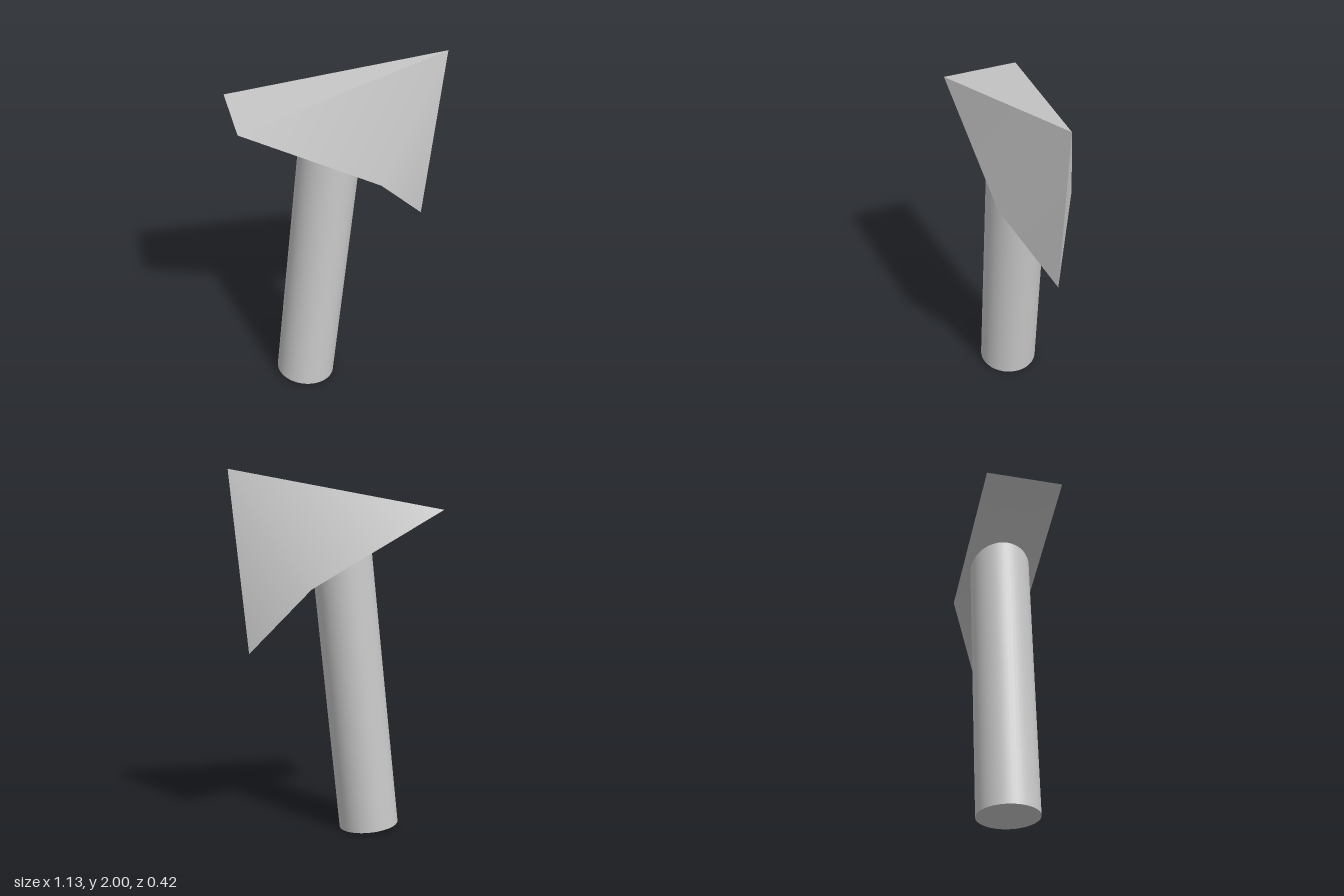
import * as THREE from 'three';
import { toCreasedNormals } from 'three/addons/utils/BufferGeometryUtils.js';

const material = new THREE.MeshStandardMaterial({ color: 0xcccccc });

// Faceted arrow-like head: a ridge at +x, two rear corners and two inner corners
function createHead() {
  const tip = [0.565, 2, 0];
  const barb = [0.462, 1.015, 0];
  const rear = (side) => [-0.565, 1.785, 0.21 * side];
  const notch = (side) => [0.167, 1.375, 0.21 * side];

  const triangles = [
    [tip, rear(-1), rear(1)], // top
    [rear(1), rear(-1), notch(-1)], // underside
    [rear(1), notch(-1), notch(1)],
    [notch(1), notch(-1), barb], // underside of the barb
    [tip, rear(1), notch(1)], // front flank
    [tip, notch(1), barb],
    [tip, notch(-1), rear(-1)], // back flank
    [tip, barb, notch(-1)],
  ];
  const geometry = new THREE.BufferGeometry();
  geometry.setAttribute('position', new THREE.Float32BufferAttribute(triangles.flat(2), 3));
  const head = new THREE.Mesh(toCreasedNormals(geometry, 0.6), material);
  head.name = 'head';
  return head;
}

// Round handle, leaning toward +x, its upper end buried in the head
function createHandle() {
  const length = 1.62;
  const geometry = new THREE.CylinderGeometry(0.165, 0.165, length, 48);
  geometry.translate(0, length / 2, 0);
  const handle = new THREE.Mesh(geometry, material);
  handle.name = 'handle';
  handle.position.set(-0.215, 0.018, 0);
  handle.rotation.z = -0.105;
  return handle;
}

export function createModel() {
  const model = new THREE.Group();
  model.name = 'arrowHeadedMallet';
  model.add(createHead(), createHandle());
  return model;
}
